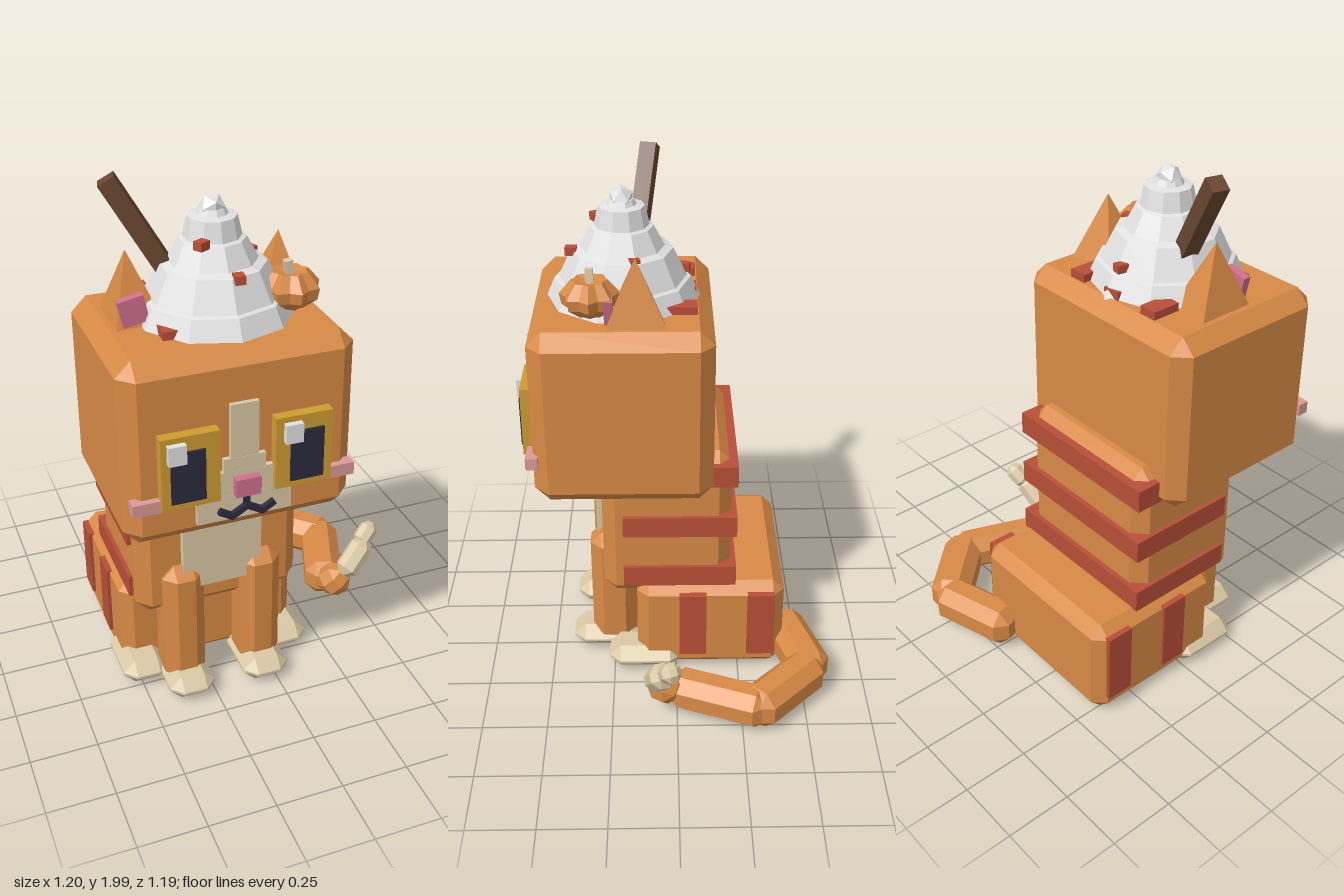
import * as THREE from 'three';
import { ConvexGeometry } from 'three/addons/geometries/ConvexGeometry.js';

const CX = -0.19; // symmetry plane of the body

export function createModel() {
  const group = new THREE.Group();
  const mat = (name, color) => {
    const m = new THREE.MeshStandardMaterial({ color, flatShading: true });
    m.name = name;
    return m;
  };
  const orange = mat('orange fur', 0xd88a45), cream = mat('cream fur', 0xdac9a6);
  const red = mat('rust stripe', 0xb84f38), gold = mat('gold iris', 0xcf9c32);
  const dark = mat('dark pupil', 0x2b2b3d), pink = mat('pink nose', 0xd0708c);
  const blush = mat('blush', 0xdb9a98), white = mat('whipped white', 0xe2e2e2);
  const brown = mat('brown stick', 0x6a4630);

  const add = (name, geo, material, x = 0, y = 0, z = 0) => {
    const mesh = new THREE.Mesh(geo, material);
    mesh.name = name;
    mesh.position.set(x, y, z);
    group.add(mesh);
    return mesh;
  };
  const bevelGeo = (w, h, d, c) => {
    const pts = [];
    for (const i of [-1, 1]) for (const j of [-1, 1]) for (const k of [-1, 1]) {
      const x = w / 2, y = h / 2, z = d / 2;
      pts.push(new THREE.Vector3(i * x, j * (y - c), k * (z - c)),
        new THREE.Vector3(i * (x - c), j * y, k * (z - c)),
        new THREE.Vector3(i * (x - c), j * (y - c), k * z));
    }
    return new ConvexGeometry(pts);
  };
  // Boxes given by their limits: [x0, x1, y0, y1, z0, z1]
  const place = (name, geo, m, b) =>
    add(name, geo, m, (b[0] + b[1]) / 2, (b[2] + b[3]) / 2, (b[4] + b[5]) / 2);
  const box = (name, m, ...b) =>
    place(name, new THREE.BoxGeometry(b[1] - b[0], b[3] - b[2], b[5] - b[4]), m, b);
  const bevel = (name, m, c, ...b) =>
    place(name, bevelGeo(b[1] - b[0], b[3] - b[2], b[5] - b[4], c), m, b);
  // Bar running between two points
  const bar = (name, m, a, b, t, c = 0) => {
    const p = new THREE.Vector3(...a), q = new THREE.Vector3(...b), len = p.distanceTo(q);
    const mesh = add(name, c ? bevelGeo(t, t, len, c) : new THREE.BoxGeometry(t, t, len), m);
    mesh.position.copy(p).lerp(q, 0.5);
    mesh.lookAt(q);
    return mesh;
  };

  // Head, torso and haunches
  bevel('head', orange, 0.055, -0.605, 0.22, 0.835, 1.52, -0.14, 0.525);
  bevel('torso', orange, 0.05, -0.51, 0.125, 0.35, 0.99, -0.215, 0.285);
  bevel('haunches', orange, 0.045, -0.545, 0.16, 0.01, 0.415, -0.43, 0.155);
  box('bib', cream, -0.345, -0.04, 0.47, 0.86, 0.26, 0.315);

  // Stripes
  for (const y of [0.41, 0.64, 0.865])
    box('torsoStripe', red, -0.525, 0.14, y, y + 0.087, -0.235, 0.205);
  for (const s of [-1, 1]) for (const z of [-0.12, -0.39]) {
    const x = CX + s * 0.35;
    box('haunchStripe', red, x - 0.017, x + 0.017, 0.09, 0.38, z, z + 0.107);
  }
  for (const x of [-0.375, CX, -0.01])
    box('headStripe', red, x - 0.035, x + 0.035, 1.49, 1.55, -0.08, 0.03);
  box('headStripe', red, -0.41, -0.34, 1.49, 1.55, 0.3, 0.37);

  for (const s of [-1, 1]) {
    const at = (d) => CX + s * d;
    // Legs and paws
    bevel('frontLeg', orange, 0.045, at(0.152) - 0.08, at(0.152) + 0.08, 0.04, 0.565, 0.16, 0.34);
    bevel('frontPaw', cream, 0.045, at(0.15) - 0.09, at(0.15) + 0.09, 0.01, 0.11, 0.14, 0.42);
    bevel('hindPaw', cream, 0.045, at(0.29) - 0.09, at(0.29) + 0.09, 0.01, 0.11, -0.02, 0.27);

    // Eyes and cheeks
    box('iris', gold, at(0.2) - 0.102, at(0.2) + 0.102, 1.0, 1.27, 0.51, 0.565);
    box('pupil', dark, at(0.21) - 0.06, at(0.21) + 0.06, 1.025, 1.215, 0.565, 0.573);
    const hx = s < 0 ? -0.44 : -0.033;
    box('eyeHighlight', white, hx - 0.031, hx + 0.031, 1.18, 1.25, 0.56, 0.588);
    box('cheek', blush, at(0.348) - 0.05, at(0.348) + 0.05, 0.988, 1.035, 0.505, 0.55);

    // Mouth curve
    bar('mouth', dark, [at(0), 0.955, 0.552], [at(0.06), 0.92, 0.552], 0.022);
    bar('mouth', dark, [at(0.05), 0.92, 0.552], [at(0.1), 0.95, 0.552], 0.022);

    // Ears
    const ear = [[0.16, 0.05], [0.345, 0.02], [0.345, 0.255], [0.16, 0.24]]
      .map(([d, z]) => new THREE.Vector3(at(d), 1.5, z));
    ear.push(new THREE.Vector3(at(0.272), 1.758, 0.14));
    add('ear', new ConvexGeometry(ear), orange);
    add('innerEar', new THREE.BoxGeometry(0.09, 0.095, 0.03), pink, at(0.28), 1.582, 0.235)
      .rotation.z = -s * 0.2;
  }

  // Muzzle blaze, nose and lip line
  box('muzzle', cream, -0.365, -0.025, 0.905, 1.0, 0.51, 0.545);
  box('muzzle', cream, -0.29, -0.09, 0.99, 1.09, 0.51, 0.544);
  box('blaze', cream, -0.268, -0.118, 1.08, 1.14, 0.51, 0.543);
  box('blaze', cream, -0.243, -0.143, 1.13, 1.34, 0.51, 0.542);
  box('nose', pink, -0.236, -0.146, 1.003, 1.07, 0.53, 0.575);
  box('lipLine', dark, -0.202, -0.18, 0.94, 1.003, 0.54, 0.56);

  // Whipped topping in stepped tiers
  const tiers = [[0.29, 1.5], [0.25, 1.59], [0.235, 1.595], [0.185, 1.7], [0.155, 1.71],
    [0.115, 1.785], [0.1, 1.79], [0.085, 1.86], [0.055, 1.865], [0.045, 1.885], [0, 1.89]];
  add('whippedTopping', new THREE.LatheGeometry(tiers.map((p) => new THREE.Vector2(...p)), 10),
    white, -0.175, 0, 0.19);
  add('toppingTip', new THREE.IcosahedronGeometry(0.048, 0), white, -0.175, 1.885, 0.19);

  // Sprinkles
  [[-0.245, 1.795, 0.285], [-0.15, 1.7, 0.375], [-0.06, 1.64, 0.33], [-0.025, 1.7, 0.145],
    [-0.19, 1.62, -0.035]].forEach(([x, y, z], i) => {
    add('sprinkle', new THREE.BoxGeometry(0.042, 0.03, 0.035), red, x, y, z).rotation.y = 0.5 + i;
  });

  // Stick
  bar('stick', brown, [-0.24, 1.53, 0.16], [-0.5, 1.985, 0.088], 0.062);

  // Ribbed pumpkin with stem
  const rind = [[0, -0.05], [0.05, -0.068], [0.1, -0.03], [0.108, 0.01], [0.065, 0.06], [0, 0.045]];
  const pumpkin = new THREE.LatheGeometry(rind.map((p) => new THREE.Vector2(...p)), 16);
  const pos = pumpkin.attributes.position;
  for (let i = 0; i < pos.count; i++) {
    const k = Math.floor(i / rind.length) % 2 ? 0.82 : 1;
    pos.setXYZ(i, pos.getX(i) * k, pos.getY(i), pos.getZ(i) * k);
  }
  add('pumpkin', pumpkin, orange, 0.06, 1.613, 0.3);
  add('pumpkinStem', new THREE.BoxGeometry(0.028, 0.06, 0.028), cream, 0.055, 1.68, 0.3)
    .rotation.z = 0.15;

  // Curled tail with cream tip
  bar('tail', orange, [-0.03, 0.1, -0.435], [0.32, 0.1, -0.54], 0.16, 0.045);
  bar('tail', orange, [0.26, 0.1, -0.55], [0.525, 0.1, -0.28], 0.16, 0.045);
  bar('tail', orange, [0.51, 0.1, -0.35], [0.37, 0.1, 0.02], 0.155, 0.045);
  bar('tail', orange, [0.365, 0.085, 0.02], [0.445, 0.175, 0.07], 0.125, 0.038);
  bar('tailTip', cream, [0.425, 0.175, 0.085], [0.54, 0.3, 0.05], 0.095, 0.03);
  bar('tailTip', cream, [0.51, 0.28, 0.045], [0.585, 0.35, 0.015], 0.075, 0.024);

  return group;
}
